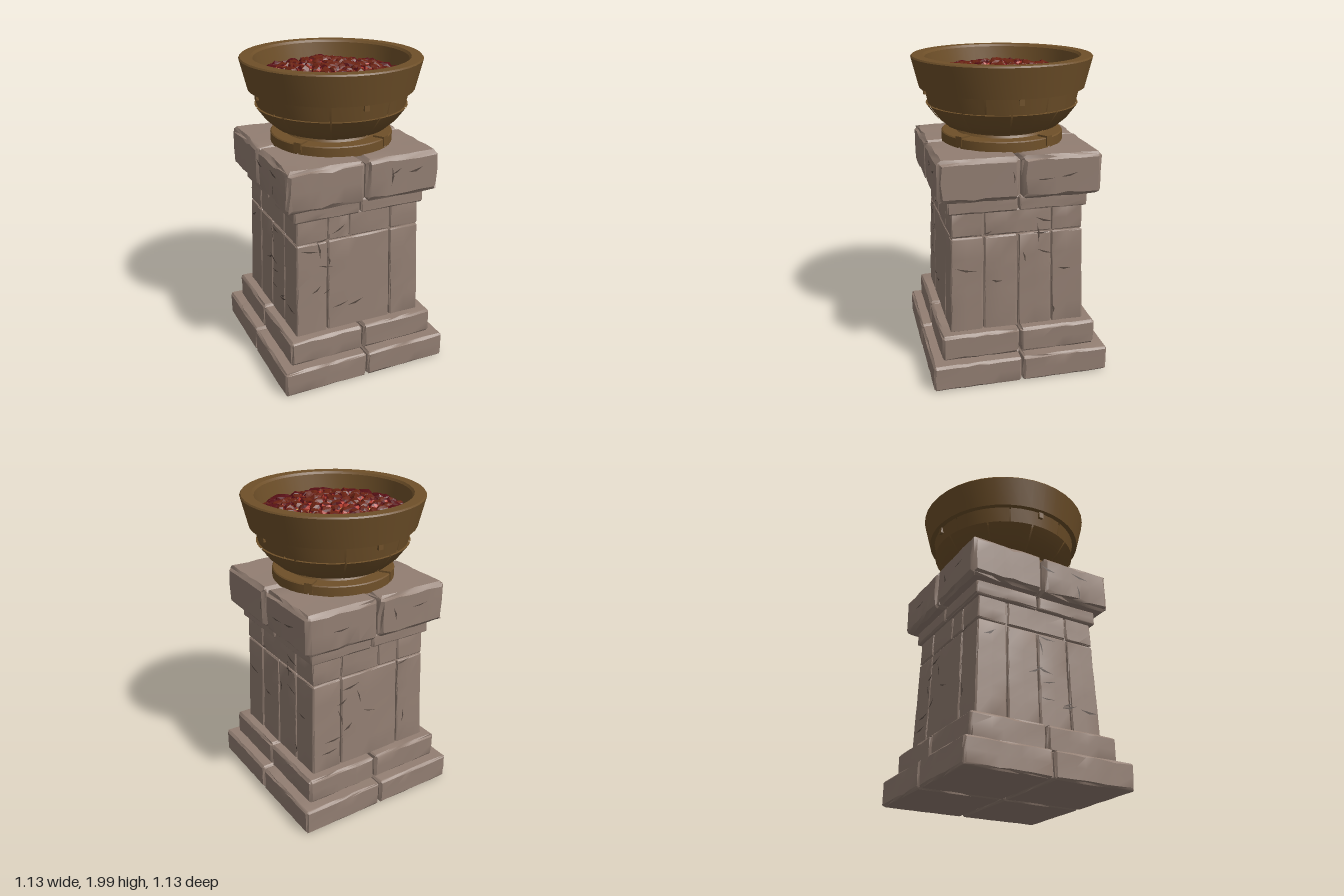
import * as THREE from 'three';
import { mergeGeometries, toCreasedNormals } from 'three/addons/utils/BufferGeometryUtils.js';

const mat = (name, color) => Object.assign(new THREE.MeshStandardMaterial({ color }), { name });

// Seeded random numbers
function seeded(seed) {
  return () => {
    seed = (seed * 16807) % 2147483647;
    return seed / 2147483647;
  };
}

// Smooth repeatable noise in -1..1
const noise = (x, y, z) =>
  Math.sin(x * 23 + y * 31 + 1.3) * Math.sin(y * 19 - z * 27 + 0.7) * 0.6 +
  Math.sin(x * 57 - z * 49 + y * 41) * 0.4;

// The shaft narrows slightly towards the top
const taper = (y) => 1 - 0.05 * (y - 0.34) / 0.77;

// Worn stone block between two corners, with uneven chipped edges
function stoneBlock(min, max, bevel = 0.016, tapered = false) {
  const size = max.map((v, i) => v - min[i]);
  const mid = max.map((v, i) => (v + min[i]) / 2);
  const segs = size.map((s) => Math.max(4, Math.min(9, Math.round(s / 0.07))));
  const geo = new THREE.BoxGeometry(...size, ...segs);
  const p = geo.attributes.position;
  for (let i = 0; i < p.count; i++) {
    const v = p.getComponent.bind(p, i);
    const c = [v(0), v(1), v(2)];
    const n = noise(c[0] + mid[0], c[1] + mid[1], c[2] + mid[2]);
    const outer = c.map((a, k) => Math.abs(a) > size[k] / 2 - 1e-5);
    const edge = outer.filter(Boolean).length > 1;
    const moved = c.map((a, k) => {
      const half = size[k] / 2, sign = Math.sign(a);
      if (outer[k]) return sign * (half - (edge ? bevel * (0.4 + 0.45 * Math.abs(n)) : 0.004 * Math.abs(n)));
      if (Math.abs(a) > half - size[k] / segs[k] * 1.01) return sign * (half - bevel * (1 + 0.4 * n));
      return a;
    });
    const y = moved[1] + mid[1], k = tapered ? taper(y) : 1;
    p.setXYZ(i, (moved[0] + mid[0]) * k, y, (moved[2] + mid[2]) * k);
  }
  geo.deleteAttribute('uv');
  return toCreasedNormals(geo, 0.5);
}

// Square course made of four corner blocks with seams between them
function course(half, y0, y1, bevel) {
  const g = 0.003, blocks = [];
  for (const sx of [-1, 1]) for (const sz of [-1, 1]) {
    blocks.push(stoneBlock(
      [sx < 0 ? -half : g, y0, sz < 0 ? -half : g],
      [sx < 0 ? -g : half, y1, sz < 0 ? -g : half], bevel));
  }
  return mergeGeometries(blocks);
}

// Shaft of corner posts, wall panels and a split upper course
function shaftGeometry() {
  const h = 0.436, s = 0.222, g = 0.003, top = 0.955, parts = [];
  const add = (x0, x1, y0, y1, z0, z1) =>
    parts.push(stoneBlock([x0 + g, y0, z0 + g], [x1 - g, y1, z1 - g], 0.01, true));
  for (const [x0, x1] of [[-h, -s], [s, h]]) {
    for (const [z0, z1] of [[-h, -s], [s, h]]) {
      add(x0, x1, 0.33, top, z0, z1);
      add(x0, x1, top + g, 1.12, z0, z1);
    }
    add(x0, x1, 0.33, top, -s, 0);
    add(x0, x1, 0.33, top, 0, s);
    add(x0, x1, top + g, 1.12, -s, s);
  }
  for (const [z0, z1] of [[-h, -s], [s, h]]) {
    add(-s, s, 0.33, top, z0, z1);
    add(-s, -0.07, top + g, 1.12, z0, z1);
    add(-0.07, s, top + g, 1.12, z0, z1);
  }
  const core = new THREE.BoxGeometry(0.8, 0.8, 0.8).translate(0, 0.73, 0).toNonIndexed();
  core.deleteAttribute('uv');
  return mergeGeometries([...parts, core]);
}

// Thin bent cracks scattered on the four sides
function cracksGeometry() {
  const rnd = seeded(77), parts = [];
  for (let side = 0; side < 4; side++) for (let i = 0; i < 13; i++) {
    const cap = i > 9, L = 0.03 + rnd() * 0.04, w = 0.004 + rnd() * 0.004;
    const x = (rnd() - 0.5) * 0.7;
    const y = cap ? 1.27 + rnd() * 0.13 : 0.42 + rnd() * 0.62;
    const z = cap ? 0.502 : 0.436 * taper(y) + 0.003;
    const shape = new THREE.Shape([[-L, 0], [0, -w], [L, w * 2], [0, w]].map((a) => new THREE.Vector2(...a)));
    parts.push(new THREE.ShapeGeometry(shape)
      .rotateZ(rnd() < 0.65 ? (rnd() - 0.5) * 0.9 : 1.4 + rnd() * 0.4)
      .translate(x, y, z).rotateY(side * Math.PI / 2));
  }
  return mergeGeometries(parts);
}

// Turned metal part, optionally split into curved plates
function turned(points, plates = 1, gap = 0, offset = 0, segments = 40) {
  const profile = points.map((a) => new THREE.Vector2(...a));
  const step = Math.PI * 2 / plates, parts = [];
  for (let i = 0; i < plates; i++) {
    parts.push(new THREE.LatheGeometry(profile, Math.round(segments / plates), offset + i * step + gap / 2, step - gap));
  }
  return toCreasedNormals(mergeGeometries(parts), 0.5);
}

// Height of the heaped coal bed at radius r
const bedHeight = (r) => 1.915 - 0.07 * (r / 0.45) ** 2;

// Coals in a spiral, faces sorted by band: charred top, dark flank, glowing foot
function coalGeometries() {
  const rnd = seeded(4242), bands = { top: [], flank: [], foot: [] };
  const count = 118, v = [0, 1, 2].map(() => new THREE.Vector3());
  for (let i = 0; i < count; i++) {
    const r = Math.min(0.43, 0.44 * Math.sqrt((i + 0.5) / count) + (rnd() - 0.5) * 0.022);
    const a = i * 2.39996 + (rnd() - 0.5) * 0.12;
    const rim = r > 0.365, size = (rim ? 0.046 : 0.036) + rnd() * 0.013;
    const matrix = new THREE.Matrix4().compose(
      new THREE.Vector3(r * Math.cos(a), bedHeight(r), r * Math.sin(a)),
      new THREE.Quaternion().setFromEuler(new THREE.Euler((rnd() - 0.5) * 0.5, rnd() * 6.28, (rnd() - 0.5) * 0.5)),
      new THREE.Vector3(size * (0.95 + rnd() * 0.4), size * 0.85, size * (0.8 + rnd() * 0.25)));
    const p = new THREE.IcosahedronGeometry(1, 1).attributes.position;
    for (let f = 0; f < p.count; f += 3) {
      v.forEach((c, k) => c.fromBufferAttribute(p, f + k));
      const h = (v[0].y + v[1].y + v[2].y) / 3 + 0.15 * (v[0].x + v[1].z);
      const band = rim ? (h > 0.85 && i % 3 === 0 ? 'top' : h < 0.15 ? 'foot' : 'flank')
        : h > 0.66 ? 'top' : h > 0.42 ? 'flank' : 'foot';
      for (const c of v) {
        c.multiplyScalar(1 + 0.16 * Math.sin(c.x * 5 + i) * Math.cos(c.z * 4 + i * 2));
        c.applyMatrix4(matrix);
        bands[band].push(c.x, c.y, c.z);
      }
    }
  }
  return Object.fromEntries(Object.entries(bands).map(([key, list]) => {
    const geo = new THREE.BufferGeometry();
    geo.setAttribute('position', new THREE.Float32BufferAttribute(list, 3));
    geo.computeVertexNormals();
    return [key, geo];
  }));
}

export function createModel() {
  const model = new THREE.Group();
  model.name = 'brazier';
  const stone = mat('stone', 0x927e72), crack = mat('crackedStone', 0x574a42);
  const bronze = mat('bronze', 0x6f5029), glow = mat('emberGlow', 0xd6ac62);
  const hot = mat('hotCoal', 0xb53a2c), dark = mat('darkCoal', 0x560f14), char = mat('charredCoal', 0x6a2212);
  const add = (name, geo, material) => {
    const mesh = new THREE.Mesh(geo, material);
    mesh.name = name;
    model.add(mesh);
  };

  // Stone pedestal
  add('basePlinth', course(0.564, 0.005, 0.176, 0.016), stone);
  add('upperPlinth', course(0.498, 0.172, 0.342, 0.018), stone);
  add('shaft', shaftGeometry(), stone);
  add('collar', course(0.436, 1.11, 1.205, 0.012), stone);
  add('capital', course(0.502, 1.2, 1.466, 0.028), stone);
  add('cracks', cracksGeometry(), crack);

  // Bronze foot and bowl
  add('footRing', turned([[0.385, 1.46], [0.385, 1.52], [0.378, 1.526], [0.28, 1.526]], 4, 0.03, 0.6), bronze);
  add('neck', turned([[0.37, 1.46], [0.37, 1.51], [0.3, 1.515], [0.285, 1.54], [0.3, 1.56], [0.35, 1.57]]), bronze);
  add('bowlCore', turned([[0.28, 1.555], [0.345, 1.565], [0.405, 1.62], [0.452, 1.7], [0.475, 1.81]]), bronze);
  add('lowerPlates', turned([[0.3, 1.552], [0.355, 1.565], [0.418, 1.62], [0.478, 1.7], [0.45, 1.703]], 10, 0.025, 0.2), bronze);
  add('middlePlates', turned([[0.462, 1.69], [0.487, 1.805]], 8, 0.022, 0.35), bronze);
  add('rim', turned([[0.47, 1.802], [0.518, 1.802], [0.563, 1.985], [0.556, 1.994], [0.49, 1.994], [0.478, 1.98], [0.452, 1.83]]), bronze);
  const clasps = [], studs = [];
  for (let i = 0; i < 4; i++) {
    const a = 0.6 + i * Math.PI / 2;
    clasps.push(new THREE.BoxGeometry(0.05, 0.06, 0.075).translate(0, 1.507, 0.352).rotateY(a));
    studs.push(new THREE.BoxGeometry(0.032, 0.04, 0.02).translate(0, 1.782, 0.485).rotateY(i * Math.PI / 2));
  }
  add('footClasps', mergeGeometries(clasps), bronze);
  add('rimStuds', mergeGeometries(studs), bronze);

  // Glowing bed and heaped coals
  const bed = (radii) => turned(radii.map((r) => [r, bedHeight(r)]));
  add('emberBed', bed([0.37, 0.28, 0.18, 0.09, 0]), glow);
  add('bedEdge', bed([0.47, 0.42, 0.37]), dark);
  const coals = coalGeometries();
  add('coalTops', coals.top, char);
  add('coalFlanks', coals.flank, dark);
  add('coalFeet', coals.foot, hot);
  return model;
}
